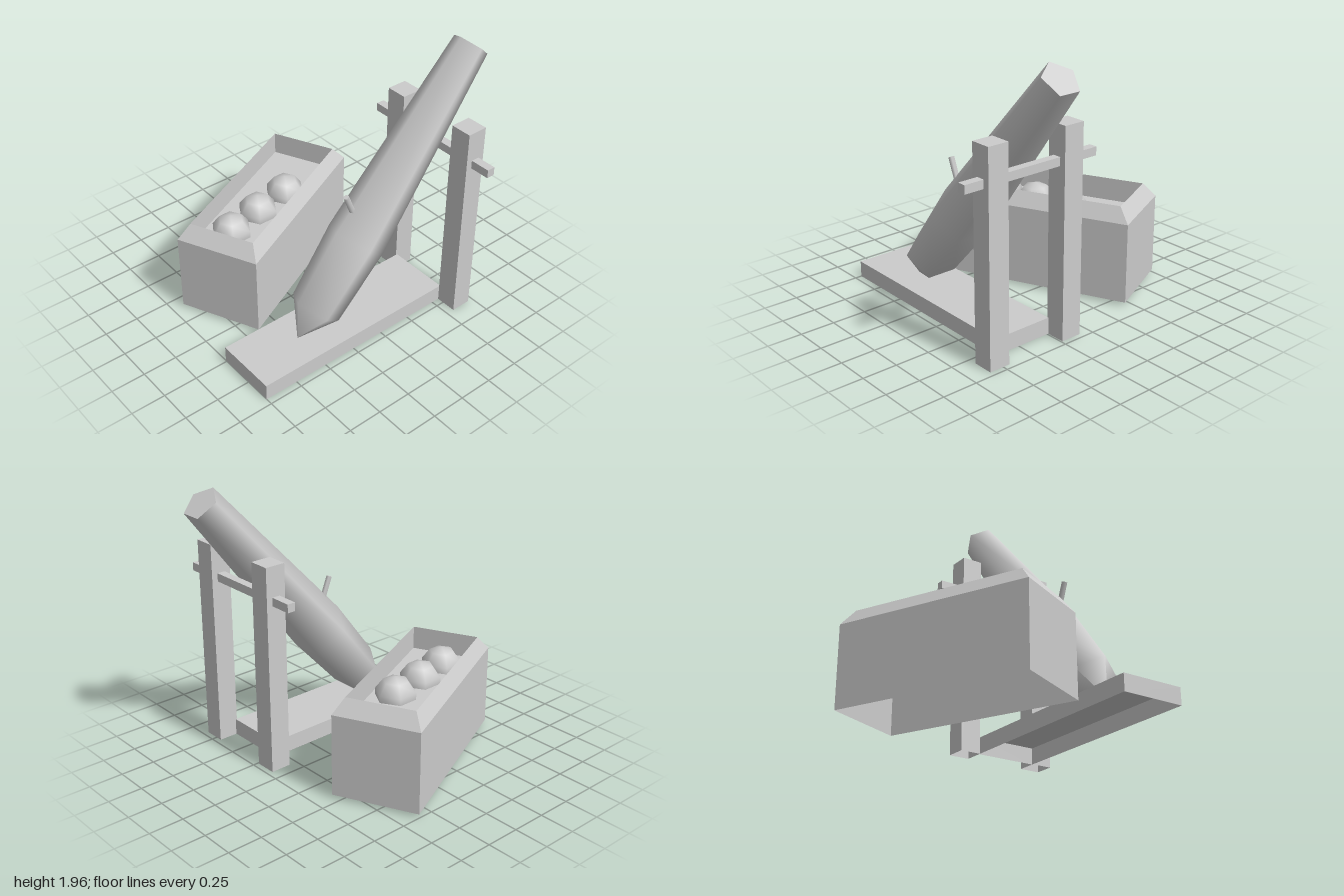
import * as THREE from 'three';

const grey = new THREE.MeshStandardMaterial({ color: 0xcccccc, side: THREE.DoubleSide });
grey.name = 'plain grey';

function add(parent, name, geometry, x = 0, y = 0, z = 0) {
  const mesh = new THREE.Mesh(geometry, grey);
  mesh.name = name;
  mesh.position.set(x, y, z);
  parent.add(mesh);
  return mesh;
}

// Box given by its minimum and maximum corners; optionally without its underside
function block(parent, name, [x0, y0, z0], [x1, y1, z1], openBottom = true) {
  const geometry = new THREE.BoxGeometry(x1 - x0, y1 - y0, z1 - z0);
  if (openBottom) {
    const index = Array.from(geometry.index.array);
    index.splice(18, 6);
    geometry.setIndex(index);
    geometry.clearGroups();
  }
  return add(parent, name, geometry, (x0 + x1) / 2, (y0 + y1) / 2, (z0 + z1) / 2);
}

// Hollow crate shell: rectangular loops [half width, y, half length] joined by flat quads
function crateGeometry() {
  const loops = [[0.307, 0.025, 0.707], [0.307, 0.615, 0.707], [0.244, 0.72, 0.628], [0.244, 0.55, 0.628]];
  const rings = loops.map(([w, y, l]) => [[w, y, l], [w, y, -l], [-w, y, -l], [-w, y, l]]);
  const positions = [];
  const quad = (a, b, c, d) => positions.push(...a, ...b, ...c, ...a, ...c, ...d);
  for (let i = 0; i < rings.length - 1; i++) {
    for (let k = 0; k < 4; k++) {
      const n = (k + 1) % 4;
      quad(rings[i][k], rings[i][n], rings[i + 1][n], rings[i + 1][k]);
    }
  }
  quad(...rings[3]); // raised floor
  const geometry = new THREE.BufferGeometry();
  geometry.setAttribute('position', new THREE.Float32BufferAttribute(positions, 3));
  geometry.computeVertexNormals();
  return geometry;
}

export function createModel() {
  const model = new THREE.Group();
  model.name = 'cannon with ammunition crate';

  // Support frame
  const frame = new THREE.Group();
  frame.name = 'supportFrame';
  model.add(frame);
  block(frame, 'basePlank', [0.24, 0, -0.57], [0.7, 0.12, 1]);
  block(frame, 'rightPost', [0.085, 0, -0.71], [0.24, 1.495, -0.56]);
  block(frame, 'leftPost', [0.7, 0, -0.71], [0.855, 1.495, -0.56]);
  block(frame, 'crossbar', [-0.075, 1.22, -0.665], [1, 1.28, -0.605], false);

  // Five-sided barrel, leaning back on the crossbar
  const barrel = new THREE.Group();
  barrel.name = 'barrel';
  barrel.position.set(0.477, 0.306, 0.411);
  barrel.rotation.x = -0.701;
  model.add(barrel);
  const profile = [[0, -0.24], [0.19, 0], [0.218, 0.539], [0.133, 2.057]];
  add(barrel, 'barrelBody', new THREE.LatheGeometry(profile.map(([r, y]) => new THREE.Vector2(r, y)), 5));
  const cap = add(barrel, 'muzzleCap', new THREE.CircleGeometry(0.133, 5, -Math.PI / 2), 0, 2.057, 0);
  cap.rotation.x = -Math.PI / 2;

  // Fuse
  const fuse = add(model, 'fuse', new THREE.CylinderGeometry(0.021, 0.021, 0.22, 5), 0.477, 1.017, 0.11);
  fuse.rotation.x = 0.38;

  // Crate with three balls
  const crate = add(model, 'crate', crateGeometry(), -0.42, 0, 0.15);
  crate.rotation.y = 0.438;
  [[-0.43, -0.04], [-0.367, 0.255], [-0.295, 0.54]].forEach(([x, z], i) => {
    const ball = add(model, 'ball' + (i + 1), new THREE.SphereGeometry(0.152, 6, 5), x, 0.55, z);
    ball.rotation.y = Math.PI / 6;
  });

  return model;
}
